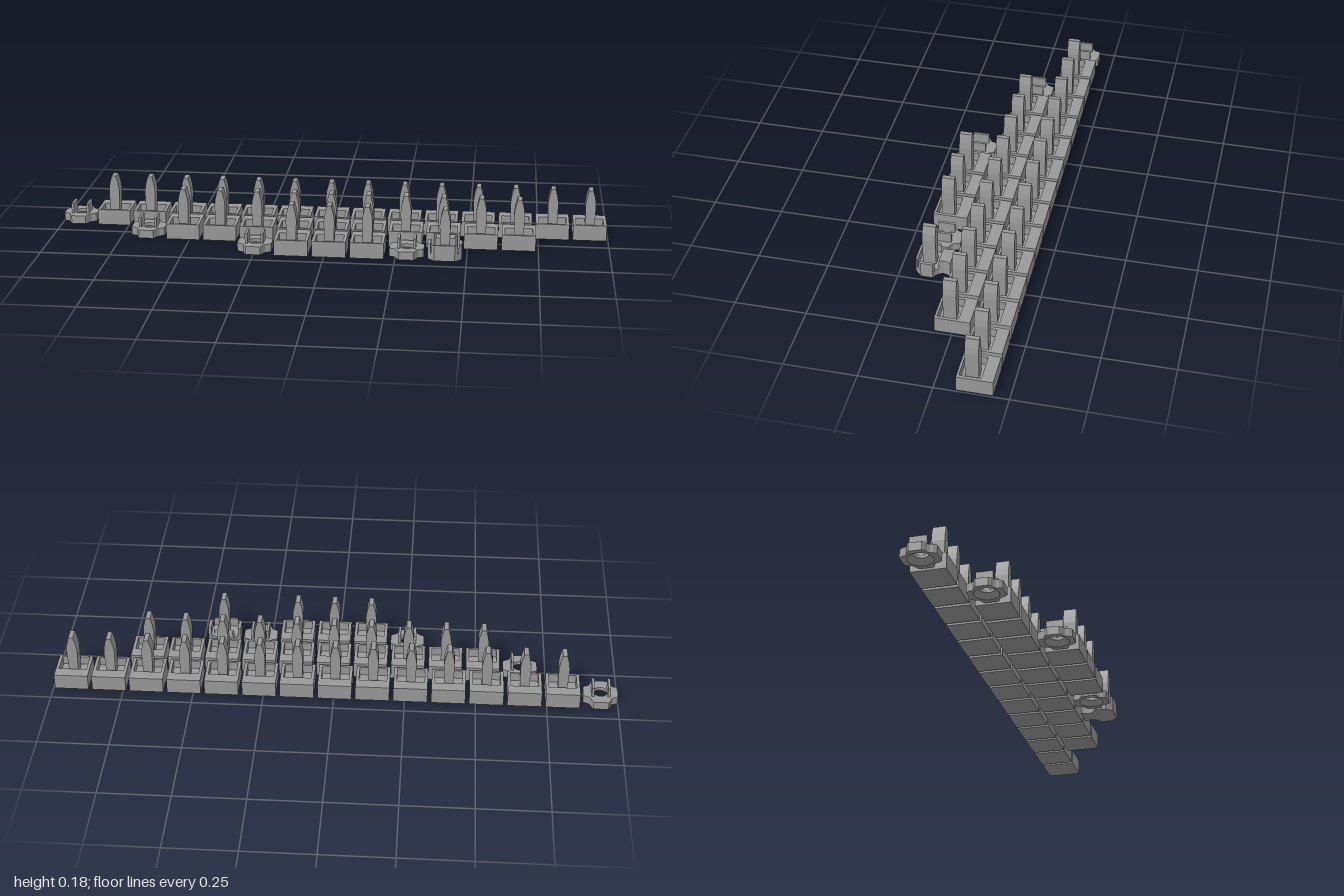
import * as THREE from 'three';

const grey = new THREE.MeshStandardMaterial({ color: 0x999999, side: THREE.DoubleSide });
grey.name = 'grey plastic';

const STEP = 0.1338, HALF = 0.06, TOP = 0.057, FLOOR = 0.025;

function mesh(name, geometry) {
  const m = new THREE.Mesh(geometry, grey);
  m.name = name;
  return m;
}

function shapeOf(points) {
  return new THREE.Shape(points.map(([x, z]) => new THREE.Vector2(x, -z)));
}

// Plan outline given in (x, z), raised from y0 to y1
function slab(shape, y0, y1) {
  const g = new THREE.ExtrudeGeometry(shape, { depth: y1 - y0, bevelEnabled: false, curveSegments: 20 });
  g.rotateX(-Math.PI / 2);
  return g.translate(0, y0, 0);
}

// Right-hand half of an outline, completed by mirroring in x
function mirrored(half) {
  return shapeOf([...half, ...half.map(([x, z]) => [-x, z]).reverse()]);
}

const rect = (x, z0, z1) => mirrored([[x, z0], [x, z1]]);

// Upright blade with a tapered tip
const bladeHalf = [[0.016, FLOOR], [0.019, 0.125], [0.016, 0.15], [0.008, 0.182]];
const bladeShape = new THREE.Shape(
  [...bladeHalf, ...bladeHalf.map(([x, y]) => [-x, y]).reverse()].map(([x, y]) => new THREE.Vector2(x, y)));
const bladeGeo = new THREE.ExtrudeGeometry(bladeShape, { depth: 0.046, bevelEnabled: false });
bladeGeo.translate(0, 0, -0.005);

// Square block: floor, rim around an offset recess
const floorGeo = slab(rect(HALF, -0.061, 0.061), 0, FLOOR);
const rimShape = rect(HALF, -0.061, 0.061);
rimShape.holes.push(rect(0.049, -0.02, 0.053));
const rimGeo = slab(rimShape, FLOOR, TOP);

function block() {
  const g = new THREE.Group();
  g.name = 'squareBlock';
  g.add(mesh('blockBase', floorGeo), mesh('blockRim', rimGeo), mesh('blade', bladeGeo));
  return g;
}

// Waisted block: same recess, cut through its angled front corners
const neck = [[0.06, -0.004], [0.046, -0.011], [0.035, -0.022], [0.031, -0.036], [0.034, -0.049], [0.041, -0.061]];
const waistBase = slab(mirrored([[0.036, 0.061], [0.06, 0.038], ...neck]), 0, FLOOR);
const waistParts = {
  frontWall: slab(mirrored([[0.036, 0.061], [0.0447, 0.053]]), FLOOR, TOP),
  backWall: slab(mirrored([[0.037, -0.02], ...neck.slice(2)]), FLOOR, TOP),
};
const sideWall = [[0.049, 0.048], [0.06, 0.038], [0.06, -0.004], [0.049, -0.009]];

function waistedBlock() {
  const g = new THREE.Group();
  g.name = 'waistedBlock';
  g.add(mesh('waistedBase', waistBase), mesh('blade', bladeGeo));
  for (const [name, geo] of Object.entries(waistParts)) g.add(mesh(name, geo));
  for (const s of [-1, 1]) {
    g.add(mesh('sideWall', slab(shapeOf(sideWall.map(([x, z]) => [s * x, z])), FLOOR, TOP)));
  }
  return g;
}

// Cross-shaped socket with a round hole flared underneath and two prongs
function socketLayer(radius, y0, y1) {
  const quarter = [[0.061, 0.022], [0.055, 0.029], [0.043, 0.033], [0.036, 0.041], [0.034, 0.05], [0.026, 0.062]];
  const shape = mirrored([...quarter.map(([x, z]) => [x, -z]).reverse(), ...quarter]);
  shape.holes.push(new THREE.Path().absarc(0, 0, radius, 0, Math.PI * 2, true));
  return slab(shape, y0, y1);
}
const socketTop = socketLayer(0.025, 0.018, 0.03);
const socketBottom = socketLayer(0.043, 0, 0.018);
const flareGeo = new THREE.LatheGeometry([new THREE.Vector2(0.043, 0), new THREE.Vector2(0.025, 0.018)], 32);
const prongGeo = new THREE.BoxGeometry(0.009, 0.038, 0.06).translate(0, 0.048, 0);

function socket() {
  const g = new THREE.Group();
  g.name = 'socket';
  g.add(mesh('socketTop', socketTop), mesh('socketBottom', socketBottom), mesh('socketFlare', flareGeo));
  for (const s of [-1, 1]) {
    const prong = mesh('prong', prongGeo);
    prong.position.x = s * 0.028;
    g.add(prong);
  }
  return g;
}

export function createModel() {
  const model = new THREE.Group();
  model.name = 'blockRows';
  // Each row starts with a socket followed by a run of square blocks
  const rows = [
    { name: 'backRow', x: -0.939, z: -0.135, count: 14 },
    { name: 'middleRow', x: -0.658, z: 0, count: 10 },
    { name: 'frontRow', x: -0.25, z: 0.135, count: 3 },
  ];
  for (const { name, x, z, count } of rows) {
    const row = new THREE.Group();
    row.name = name;
    row.position.set(x, 0, z);
    const parts = [socket()];
    for (let i = 0; i < count; i++) parts.push(block());
    if (name === 'frontRow') parts.push(socket(), waistedBlock());
    parts.forEach((part, i) => {
      part.position.x = i * STEP + (i > count ? 0.004 : 0);
      row.add(part);
    });
    model.add(row);
  }
  return model;
}
